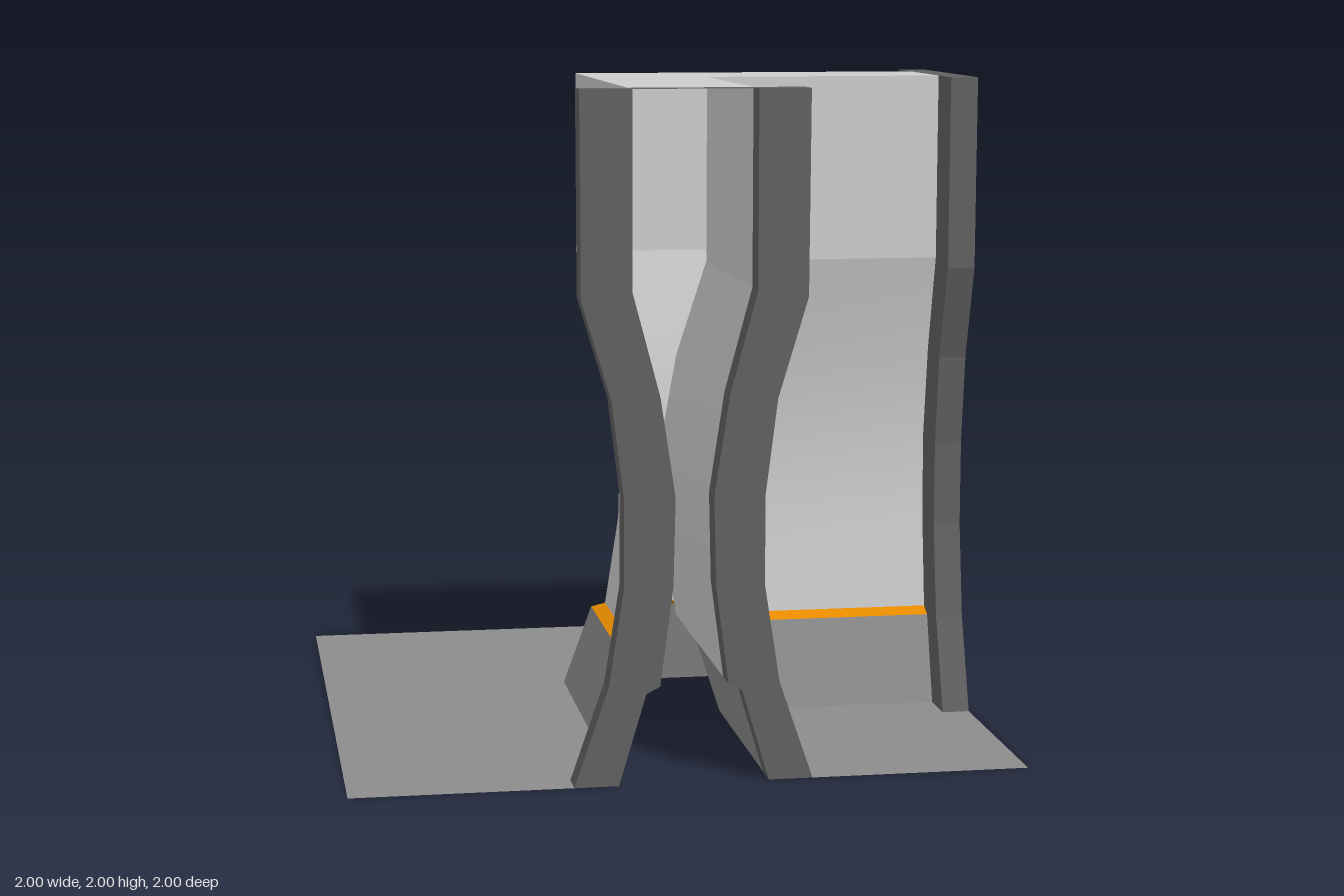
import * as THREE from 'three';

const mat = (name, color, side = THREE.DoubleSide) => {
  const m = new THREE.MeshStandardMaterial({ color, side });
  m.name = name;
  return m;
};

export function createModel() {
  const group = new THREE.Group();
  const wallMat = mat('pale grey', 0xcccccc);
  const floorMat = mat('mid grey', 0x8c8c8c);
  const trimMat = mat('orange', 0xe68a00);
  const frameMat = mat('dark grey', 0x606060);
  const END = 0.915; // where the walls meet the door frames

  const add = (name, geometry, material, parent = group) => {
    const mesh = new THREE.Mesh(geometry, material);
    mesh.name = name;
    parent.add(mesh);
    return mesh;
  };

  // Half width of the corridor at each height, [width, y]
  const skirt = [[0.22, 0], [0.14, 0.27]];
  const trim = [[0.14, 0.27], [0.10, 0.29]];
  const curve = [[0.10, 0.29], [0.062, 0.58], [0.056, 0.84], [0.10, 1.13], [0.18, 1.43]];
  const upper = [[0.18, 1.43], [0.18, 2]];

  // One wall band, mitred at the corner; side -1 is the outer wall, 1 the inner
  function band(profile, side, swap) {
    const pos = [], index = [];
    profile.forEach(([w, y], i) => {
      const a = side * w;
      for (const along of [a, END]) pos.push(...(swap ? [a, y, along] : [along, y, a]));
      if (i) {
        const k = 2 * i;
        // wind every band so that it faces out of the corridor
        if ((side > 0) !== swap) index.push(k - 2, k - 1, k + 1, k - 2, k + 1, k);
        else index.push(k - 2, k + 1, k - 1, k - 2, k, k + 1);
      }
    });
    const g = new THREE.BufferGeometry();
    g.setAttribute('position', new THREE.Float32BufferAttribute(pos, 3));
    g.setIndex(index);
    g.computeVertexNormals();
    return g;
  }

  for (const side of [-1, 1]) {
    for (const swap of [false, true]) {
      const label = side < 0 ? 'outer' : 'inner';
      add(label + 'Skirting', band(skirt, side, swap), floorMat);
      add(label + 'Trim', band(trim, side, swap), trimMat);
      add(label + 'CurvedWall', band(curve, side, swap), wallMat);
      add(label + 'UpperWall', band(upper, side, swap), wallMat);
    }
  }

  // Flat horizontal polygon from [x, z] points
  const flat = (points, y) => {
    const shape = new THREE.Shape(points.map(([x, z]) => new THREE.Vector2(x, -z)));
    return new THREE.ShapeGeometry(shape).rotateX(-Math.PI / 2).translate(0, y, 0);
  };

  // L-shaped ceiling
  const c = 0.18;
  add('ceiling', flat([[-c, -c], [END, -c], [END, c], [c, c], [c, END], [-c, END]], 2), wallMat);

  // Floor around the corridor, notched where the frames stand
  const f = 0.22, n = 0.35;
  add('outerFloor', flat([[-1, -1], [1, -1], [1, -n], [END, -n], [END, -f], [-f, -f],
    [-f, END], [-n, END], [-n, 1], [-1, 1]], 0), floorMat);
  add('innerFloor', flat([[f, f], [END, f], [END, n], [1, n], [1, 1], [n, 1],
    [n, END], [f, END]], 0), floorMat);

  // Door frames: two curved uprights and a thin top plate
  const inside = [...skirt, ...curve, [0.18, 2]];
  const outside = [[0.33, 2], [0.327, 1.41], [0.24, 1.12], [0.205, 0.84],
    [0.205, 0.58], [0.25, 0.29], [0.35, 0]];
  function doorFrame(name) {
    const frame = new THREE.Group();
    frame.name = name;
    for (const s of [-1, 1]) {
      const shape = new THREE.Shape(
        [...inside, ...outside].map(([x, y]) => new THREE.Vector2(s * x, y)));
      const g = new THREE.ExtrudeGeometry(shape, { depth: 1 - END, bevelEnabled: false });
      add('upright', g.translate(0, 0, END), frameMat, frame);
    }
    add('topPlate', flat([[-c, END], [c, END], [c, 1], [-c, 1]], 2), frameMat, frame);
    group.add(frame);
    return frame;
  }
  doorFrame('frontFrame');
  doorFrame('leftFrame').rotation.y = Math.PI / 2;

  return group;
}
